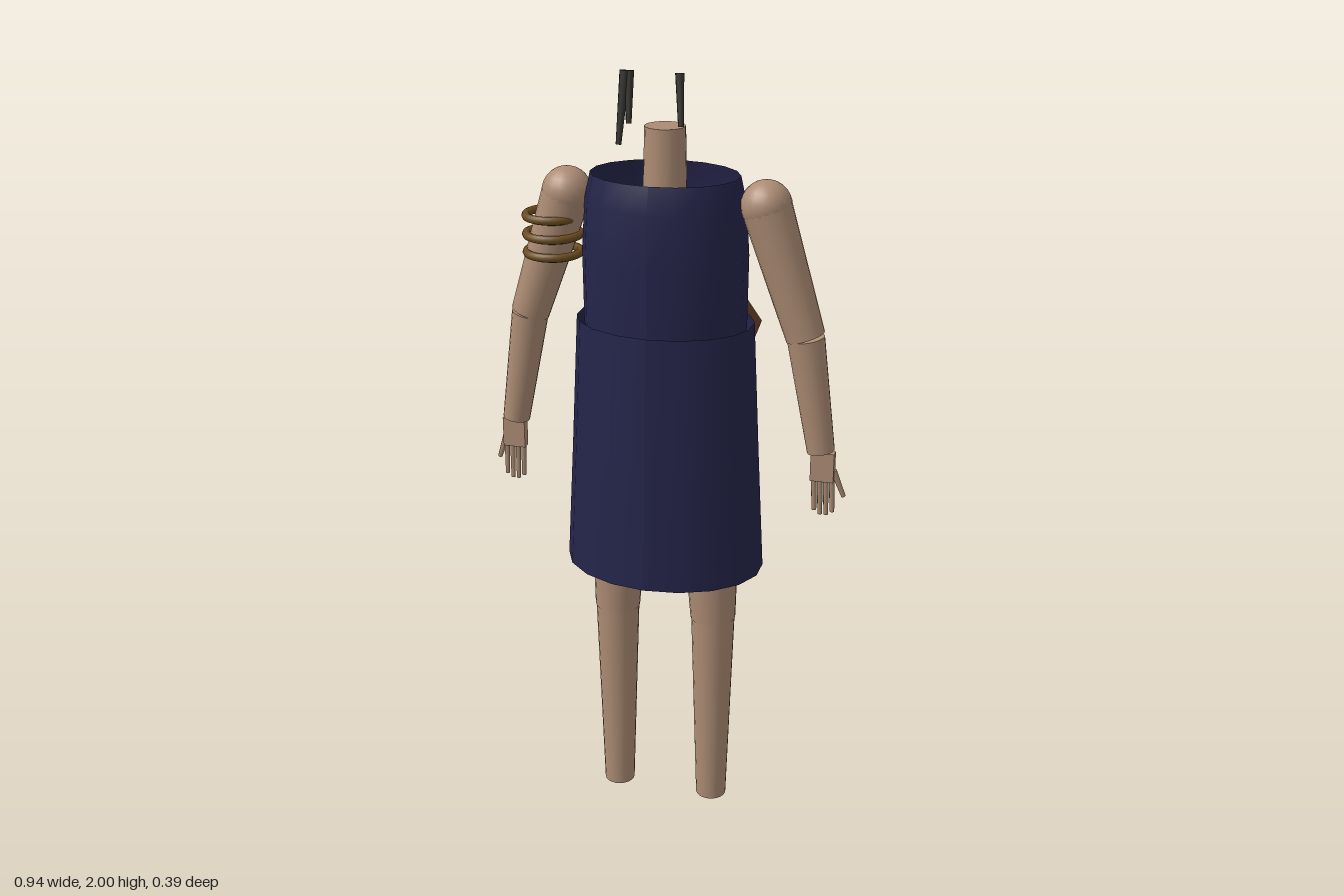
import * as THREE from 'three';

const mat = (name, color, side = THREE.FrontSide) => {
  const m = new THREE.MeshStandardMaterial({ color, side });
  m.name = name;
  return m;
};
const V = (x, y, z) => new THREE.Vector3(x, y, z);

export function createModel() {
  const model = new THREE.Group();
  const skin = mat('skin', 0xac8c74);
  const cloth = mat('navy cloth', 0x24244a, THREE.DoubleSide);
  const brass = mat('brass', 0x6b4c20);
  const leather = mat('leather', 0x4a2c1c, THREE.DoubleSide);
  const dark = mat('dark hair', 0x35332e);

  const add = (name, geo, material, parent = model) => {
    const mesh = new THREE.Mesh(geo, material);
    mesh.name = name;
    parent.add(mesh);
    return mesh;
  };

  // Tapered rod from a (radius ra) to b (radius rb)
  const limb = (name, a, b, ra, rb, material, parent = model, sides = 20) => {
    const dir = a.clone().sub(b);
    const mesh = add(name, new THREE.CylinderGeometry(ra, rb, dir.length(), sides), material, parent);
    mesh.position.copy(a).add(b).multiplyScalar(0.5);
    mesh.quaternion.setFromUnitVectors(V(0, 1, 0), dir.normalize());
    return mesh;
  };
  const ball = (name, p, r, parent) =>
    add(name, new THREE.SphereGeometry(r, 20, 14), skin, parent).position.copy(p);

  // Open elliptical garment; each row is [y, half width, half depth]
  const garment = (name, rows) => {
    const sides = 18, n = rows.length - 1;
    const geo = new THREE.CylinderGeometry(1, 1, 1, sides, n, true);
    const p = geo.attributes.position;
    for (let i = 0; i < p.count; i++) {
      const [y, w, d] = rows[Math.floor(i / (sides + 1))];
      p.setXYZ(i, p.getX(i) * w, y, p.getZ(i) * d);
    }
    geo.computeVertexNormals();
    add(name, geo, cloth);
  };
  garment('tunicTop', [[1.745, 0.186, 0.141], [1.68, 0.2, 0.158], [1.55, 0.209, 0.16], [1.36, 0.207, 0.157]]);
  garment('skirt', [[1.378, 0.226, 0.172], [1.04, 0.243, 0.184], [0.71, 0.261, 0.197]]);

  // Neck
  limb('neck', V(0, 1.86, 0), V(0, 1.6, 0), 0.05, 0.056, skin);

  for (const s of [1, -1]) {
    const side = s > 0 ? 'left' : 'right';

    // Leg
    const leg = new THREE.Group();
    leg.name = side + 'Leg';
    model.add(leg);
    ball('hip', V(s * 0.118, 1.03, 0), 0.086, leg);
    limb('thigh', V(s * 0.118, 1.03, 0), V(s * 0.133, 0.555, 0), 0.085, 0.06, skin, leg);
    limb('shin', V(s * 0.133, 0.557, 0), V(s * 0.133, 0, 0), 0.058, 0.041, skin, leg);

    // Arm
    const arm = new THREE.Group();
    arm.name = side + 'Arm';
    model.add(arm);
    ball('shoulder', V(s * 0.252, 1.683, 0), 0.063, arm);
    limb('upperArm', V(s * 0.252, 1.683, 0), V(s * 0.358, 1.363, 0), 0.062, 0.049, skin, arm);
    limb('forearm', V(s * 0.359, 1.36, 0), V(s * 0.407, 1.066, 0), 0.047, 0.035, skin, arm);

    // Hand with four fingers and an outer thumb
    const hand = new THREE.Group();
    hand.name = side + 'Hand';
    arm.add(hand);
    const palm = add('palm', new THREE.BoxGeometry(0.06, 0.078, 0.024), skin, hand);
    palm.position.set(s * 0.413, 1.024, -0.002);
    for (let i = 0; i < 4; i++) {
      const x = 0.391 + i * 0.0155, tip = i === 0 || i === 3 ? 0.9 : 0.89;
      limb('finger', V(s * x, 0.988, -0.002), V(s * (x + 0.003), tip, -0.006), 0.0075, 0.006, skin, hand, 8);
    }
    limb('thumb', V(s * 0.44, 1.012, -0.008), V(s * 0.466, 0.94, -0.019), 0.009, 0.006, skin, hand, 8);
  }

  // Bangles on the right upper arm
  for (const y of [1.621, 1.573, 1.527]) {
    const ring = add('bangle', new THREE.TorusGeometry(0.067, 0.011, 8, 28), brass);
    ring.rotation.x = Math.PI / 2;
    ring.position.set(-0.291, y, 0);
  }

  // Leather band curving diagonally across the back
  const band = new THREE.PlaneGeometry(1, 1, 10, 1);
  const p = band.attributes.position;
  for (let i = 0; i < p.count; i++) {
    const t = p.getX(i) + 0.5, edge = p.getY(i);
    const x = 0.215 - 0.405 * t + edge * 0.02;
    const half = 0.05 + 0.035 * Math.sin(Math.PI * t);
    p.setXYZ(i, x, 1.335 + 0.33 * t + edge * half, -0.183 + 1.65 * x * x);
  }
  band.computeVertexNormals();
  add('backBand', band, leather);

  // Thin straps meeting in a V on the back
  for (const x of [0.075, -0.115])
    limb('backStrap', V(x, 1.69, -0.152), V(-0.015, 1.54, -0.18), 0.007, 0.007, leather, model, 8);

  // Loose hair strands
  limb('hairStrand', V(-0.075, 2, 0.077), V(-0.086, 1.83, 0.097), 0.013, 0.007, dark, model, 8);
  limb('hairStrand', V(-0.064, 2, 0.075), V(-0.062, 1.88, 0.092), 0.011, 0.007, dark, model, 8);
  limb('hairStrand', V(0.057, 2, 0.075), V(0.066, 1.88, 0.095), 0.011, 0.007, dark, model, 8);

  return model;
}
